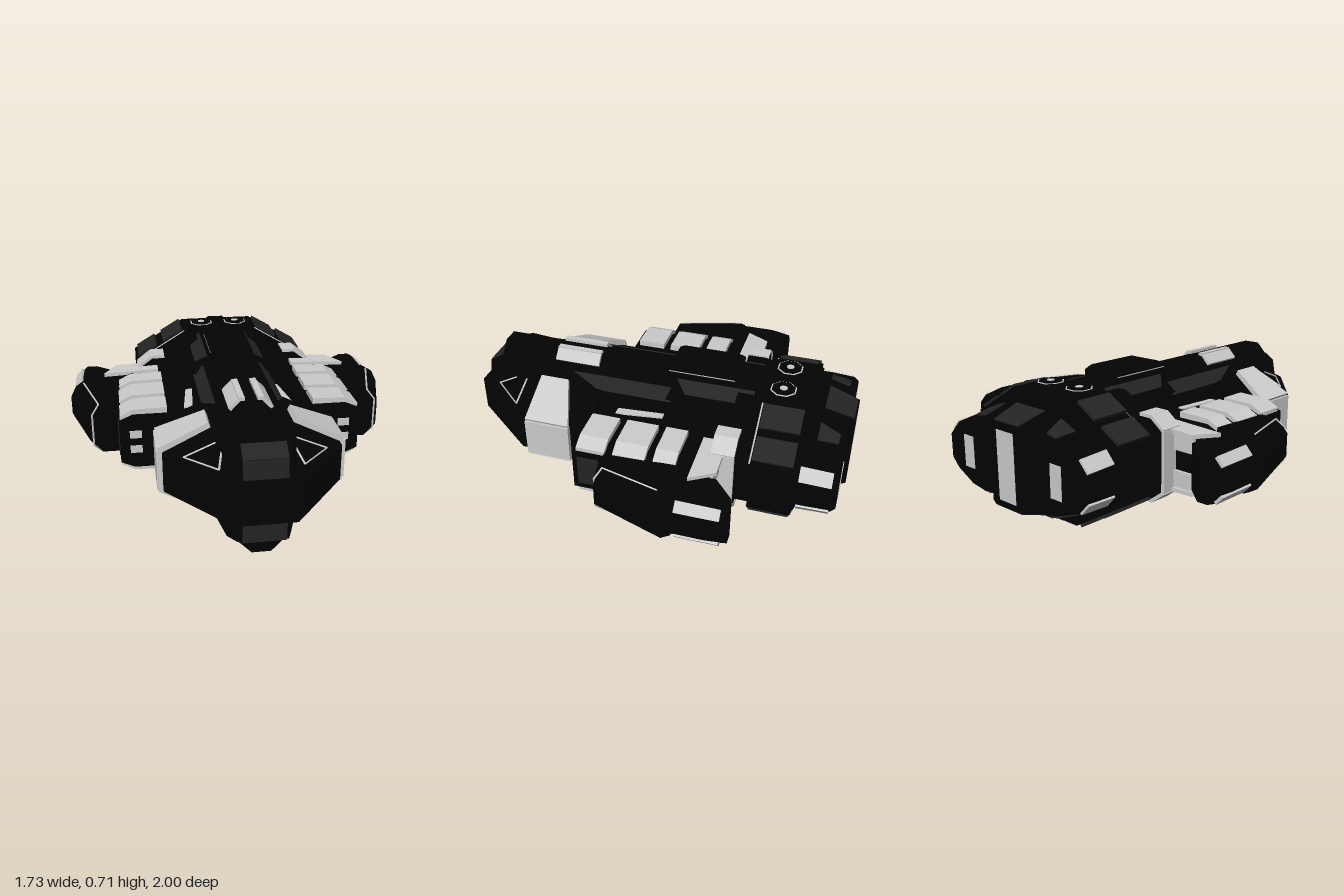
import * as THREE from 'three';
import { ConvexGeometry } from 'three/addons/geometries/ConvexGeometry.js';

const MID = 0.358; // height of the horizontal symmetry plane
const paint = (color) => new THREE.MeshStandardMaterial({ color, flatShading: true });

export function createModel() {
  const black = paint(0x030303), grey = paint(0x242424), light = paint(0xffffff);
  const ship = new THREE.Group();
  ship.name = 'spaceship';

  // Points are [x, height above mid plane, z]; "mirror" lists the axes to repeat across.
  function solid(name, mat, pts, mirror = '') {
    for (const sx of mirror.includes('x') ? [1, -1] : [1]) {
      for (const sy of mirror.includes('y') ? [1, -1] : [1]) {
        const v = pts.map(([x, y, z]) => new THREE.Vector3(x * sx, MID + y * sy, z));
        const mesh = new THREE.Mesh(new ConvexGeometry(v), mat);
        mesh.name = name;
        ship.add(mesh);
      }
    }
  }
  // Symmetric hull section at z from the corners of one quadrant
  const ring = (z, quad) => quad.flatMap(([x, y]) => [[x, y, z], [-x, y, z], [x, -y, z], [-x, -y, z]]);
  // Section at z mirrored only above and below the mid plane
  const side = (z, half) => half.flatMap(([x, y]) => [[x, y, z], [x, -y, z]]);
  // Same profile at two z positions
  const prism = (z0, z1, prof) => [z0, z1].flatMap((z) => prof.map(([x, y]) => [x, y, z]));
  // Thin plate on any quad or triangle
  function plate(name, mat, pts, mirror = 'xy', t = 0.012) {
    const v = pts.map((p) => new THREE.Vector3(...p));
    const n = v[1].clone().sub(v[0]).cross(v[2].clone().sub(v[0])).normalize().multiplyScalar(t);
    solid(name, mat, v.flatMap((p) => [p.clone().add(n).toArray(), p.clone().sub(n).toArray()]), mirror);
  }
  // Slim bar between two points
  function bar(name, a, b, r = 0.005) {
    const pts = [];
    for (const p of [a, b])
      for (const [i, j, k] of [[1, 0, 0], [-1, 0, 0], [0, 1, 0], [0, -1, 0], [0, 0, 1], [0, 0, -1]])
        pts.push([p[0] + i * r, p[1] + j * r, p[2] + k * r]);
    solid(name, light, pts, 'xy');
  }

  // Nose
  solid('nose', black, [
    ...ring(0.65, [[0.42, 0.09], [0.17, 0.2]]),
    ...ring(1.0, [[0.14, 0.09]]),
    ...ring(0.96, [[0.13, 0.11]])]);
  solid('noseCap', black, [1, -1].flatMap((s) => [
    [0.13 * s, 0.08, 0.957], [0.11 * s, 0.2, 0.953], [0.17 * s, 0.08, 0.8], [0.15 * s, 0.248, 0.82],
    [0.2 * s, 0.2, 0.65], [0.11 * s, 0.245, 0.88]]), 'y');
  plate('noseCapTop', grey, [[0.1, 0.2, 0.953], [0.1, 0.246, 0.885], [-0.1, 0.246, 0.885], [-0.1, 0.2, 0.953]], 'y', 0.005);
  plate('noseCapFront', grey, [[0.1, 0.1, 0.957], [0.1, 0.2, 0.953], [-0.1, 0.2, 0.953], [-0.1, 0.1, 0.957]], 'y', 0.005);
  const tri = [[0.33, 0.112, 0.71], [0.15, 0.19, 0.71], [0.19, 0.122, 0.87]];
  tri.forEach((p, i) => bar('noseTrim', p, tri[(i + 1) % 3]));

  // Main fuselage with a stepped spine
  solid('frontHull', black, [0.65, 0.28].flatMap((z) => ring(z, [[0.42, 0.09], [0.2, 0.2]])));
  solid('midHull', black, [0.3, -0.5].flatMap((z) => ring(z, [[0.36, 0.12]])));
  solid('spineBase', black, [
    ...ring(0.82, [[0.13, 0.19], [0.12, 0.249]]),
    ...ring(0.45, [[0.2, 0.19], [0.15, 0.25]]),
    ...ring(-0.6, [[0.21, 0.1], [0.2, 0.19], [0.15, 0.25]])]);
  solid('spineRidge', black, [0.88, -0.78].flatMap((z) => ring(z, [[0.1, 0.25], [0.045, 0.307]])));
  solid('spineShoulder', black, [
    ...ring(-0.04, [[0.2, 0.19], [0.12, 0.25]]),
    ...[-0.1, -0.78].flatMap((z) => ring(z, [[0.2, 0.2], [0.19, 0.24], [0.12, 0.295]]))]);
  plate('spineSidePanel', grey, [[0.2, 0.192, 0.3], [0.15, 0.25, 0.45], [0.15, 0.25, -0.09], [0.2, 0.192, -0.09]], 'xy', 0.006);
  plate('shoulderPanel', grey, [[0.185, 0.244, -0.16], [0.125, 0.292, -0.1], [0.125, 0.292, -0.5], [0.185, 0.244, -0.5]], 'xy', 0.006);
  plate('valleyMarker', light, [[0.28, 0.122, 0.18], [0.235, 0.122, 0.18], [0.215, 0.122, -0.06], [0.25, 0.122, -0.06]], 'xy', 0.006);
  plate('spineStripTop', light, [[0.03, 0.318, 0.57], [0.06, 0.318, 0.57], [0.06, 0.318, 0.33], [0.03, 0.318, 0.33]], 'xy', 0.008);
  plate('spineStripSlope', light, [[0.055, 0.315, 0.57], [0.1, 0.268, 0.57], [0.1, 0.268, 0.33], [0.055, 0.315, 0.33]], 'xy', 0.008);

  // Pale collar behind the nose
  plate('collarSlope', light, [[0.436, 0.1, 0.61], [0.2, 0.218, 0.61], [0.2, 0.218, 0.46], [0.436, 0.1, 0.375]], 'xy', 0.014);
  plate('collarSide', light, [[0.434, 0.1, 0.61], [0.434, -0.1, 0.61], [0.434, -0.1, 0.375], [0.434, 0.1, 0.375]], 'x', 0.014);

  // Dorsal and ventral pods
  solid('dorsalPod', black, [
    ...prism(-0.08, -0.37, [[0.095, 0.357], [-0.095, 0.357]]),
    ...prism(-0.05, -0.4, [[0.112, 0.335], [-0.112, 0.335], [0.112, 0.26], [-0.112, 0.26]])], 'y');
  solid('dorsalPodTrim', light, prism(-0.055, -0.395, [[0.113, 0.322], [-0.113, 0.322], [0.113, 0.327], [-0.113, 0.327]]), 'y');

  // Sponsons with pale ribs and front lamps
  solid('sponson', black, [0.285, -0.3].flatMap((z) => side(z, [[0.3, 0.14], [0.54, 0.14], [0.61, 0.11]])), 'x');
  plate('sponsonSidePanel', grey, [[0.61, 0.08, 0.26], [0.61, -0.08, 0.26], [0.61, -0.08, 0.15], [0.61, 0.08, 0.15]], 'x', 0.005);
  for (const [z0, z1] of [[0.265, 0.12], [0.08, -0.08], [-0.12, -0.23]])
    solid('rib', light, prism(z0, z1, [[0.37, 0.13], [0.37, 0.17], [0.54, 0.165], [0.605, 0.132], [0.605, 0.11]]), 'xy');
  plate('lamp', light, [[0.5, 0.02, 0.285], [0.56, 0.02, 0.285], [0.56, 0.06, 0.285], [0.5, 0.06, 0.285]], 'xy', 0.004);

  // Outer pods
  solid('outerPodFront', black, [
    ...side(0.12, [[0.6, 0.125], [0.7, 0.125], [0.76, 0.06]]),
    ...side(-0.23, [[0.6, 0.137], [0.79, 0.137], [0.835, 0.11], [0.865, 0.05]]),
    ...side(-0.26, [[0.62, 0.137], [0.78, 0.137], [0.84, 0.06]])], 'x');
  solid('outerPodRear', black, [
    ...side(-0.2, [[0.64, 0.125], [0.77, 0.135], [0.84, 0.06]]),
    ...side(-0.43, [[0.61, 0.11], [0.77, 0.135], [0.84, 0.06]]),
    ...side(-0.53, [[0.725, 0.11], [0.78, 0.11], [0.83, 0.06]])], 'x');
  bar('outerPodTrim', [0.71, 0.13, 0.09], [0.79, 0.137, -0.2]);
  bar('outerPodTrim', [0.71, 0.13, 0.09], [0.745, 0.085, 0.12]);
  bar('outerPodTrim', [0.745, 0.085, 0.12], [0.745, 0, 0.12]);
  plate('outerPodStrip', light, [[0.838, 0.066, -0.29], [0.8, 0.108, -0.29], [0.8, 0.106, -0.5], [0.836, 0.066, -0.5]], 'xy', 0.008);

  // Struts joining the outer pods to the aft hull
  solid('strutCore', black, [-0.26, -0.4].flatMap((z) => side(z, [[0.3, 0.12], [0.62, 0.12]])), 'x');
  plate('strutCover', light, [[0.38, 0.147, -0.31], [0.68, 0.135, -0.31], [0.61, 0.138, -0.43], [0.38, 0.147, -0.43]], 'xy', 0.01);
  plate('strutRear', light, [[0.47, 0.05, -0.408], [0.61, 0.05, -0.408], [0.61, 0.13, -0.408], [0.47, 0.13, -0.408]], 'xy', 0.008);
  solid('strutShoulder', black, prism(-0.375, -0.48, [[0.3, 0.1], [0.3, 0.205], [0.41, 0.205], [0.48, 0.15], [0.48, 0.1]]), 'xy');
  plate('strutShoulderTop', light, [[0.34, 0.206, -0.37], [0.415, 0.206, -0.37], [0.415, 0.206, -0.485], [0.34, 0.206, -0.485]], 'xy', 0.008);
  plate('strutShoulderSlope', light, [[0.41, 0.207, -0.37], [0.485, 0.15, -0.37], [0.485, 0.15, -0.485], [0.41, 0.207, -0.485]], 'xy', 0.008);
  plate('strutShoulderSide', light, [[0.484, 0.15, -0.4], [0.484, -0.15, -0.4], [0.484, -0.15, -0.485], [0.484, 0.15, -0.485]], 'x', 0.008);

  // Aft hull with its wide band
  solid('aftHull', black, [-0.42, -0.78].flatMap((z) => ring(z, [[0.475, 0.11], [0.34, 0.2], [0.19, 0.285]])));
  solid('aftBand', black, [-0.56, -0.77].flatMap((z) => ring(z, [[0.495, 0.13], [0.35, 0.215], [0.205, 0.3], [0.16, 0.3]])));
  plate('aftPanelInner', grey, [[0.33, 0.23, -0.565], [0.22, 0.295, -0.565], [0.22, 0.295, -0.76], [0.33, 0.23, -0.76]]);
  plate('aftPanelOuter', grey, [[0.475, 0.145, -0.565], [0.37, 0.208, -0.565], [0.37, 0.208, -0.76], [0.475, 0.145, -0.76]]);
  bar('aftTrim', [0.48, 0.13, -0.555], [0.21, 0.293, -0.555], 0.004);

  // Octagonal hatches above and below
  for (const sx of [1, -1]) for (const sy of [1, -1]) {
    const disc = (name, mat, top, base, h, y) => {
      const m = new THREE.Mesh(new THREE.CylinderGeometry(top, base, h, 8).rotateY(Math.PI / 8), mat);
      m.position.set(sx * 0.1, MID + sy * y, -0.635);
      m.rotation.x = sy > 0 ? 0 : Math.PI;
      m.name = name;
      ship.add(m);
    };
    disc('hatchBase', black, 0.07, 0.09, 0.04, 0.297);
    disc('hatchRing', light, 0.067, 0.067, 0.014, 0.313);
    disc('hatchCap', black, 0.06, 0.06, 0.016, 0.315);
    disc('hatchLight', light, 0.02, 0.02, 0.016, 0.318);
  }

  // Engines
  solid('engineBulkhead', black, [-0.77, -0.885].flatMap((z) => ring(z, [[0.3, 0.15], [0.16, 0.19]])));
  solid('centreEngine', black, [
    ...ring(-0.77, [[0.14, 0.2]]),
    ...ring(-0.835, [[0.14, 0.2], [0.11, 0.252]]),
    ...ring(-1.0, [[0.11, 0.185], [0.09, 0.202]])]);
  plate('centreEngineTop', grey, [[0.1, 0.25, -0.845], [-0.1, 0.25, -0.845], [-0.085, 0.205, -0.99], [0.085, 0.205, -0.99]], 'y', 0.004);
  plate('centreExhaust', light, [[0.06, 0.17, -0.998], [-0.06, 0.17, -0.998], [-0.06, -0.17, -0.998], [0.06, -0.17, -0.998]], '', 0.003);
  solid('sideEngine', black, [
    ...side(-0.77, [[0.16, 0.2], [0.3, 0.19], [0.42, 0.13], [0.478, 0.065]]),
    ...side(-0.835, [[0.15, 0.21], [0.2, 0.23], [0.3, 0.19], [0.42, 0.13], [0.478, 0.065]]),
    ...side(-0.885, [[0.15, 0.17]]),
    ...side(-0.95, [[0.42, 0.122], [0.478, 0.06]]),
    ...side(-0.975, [[0.2, 0.175], [0.3, 0.16], [0.41, 0.105], [0.455, 0.06]])], 'x');
  plate('sideEngineTop', grey, [[0.2, 0.23, -0.84], [0.295, 0.192, -0.84], [0.28, 0.18, -0.94], [0.22, 0.193, -0.94]], 'xy', 0.006);
  plate('sideExhaust', light, [[0.275, 0.08, -0.975], [0.345, 0.08, -0.975], [0.345, -0.08, -0.975], [0.275, -0.08, -0.975]], 'x', 0.004);
  plate('sideEngineStrip', light, [[0.475, 0.07, -0.79], [0.425, 0.126, -0.79], [0.425, 0.12, -0.945], [0.475, 0.066, -0.945]], 'xy', 0.009);

  return ship;
}
